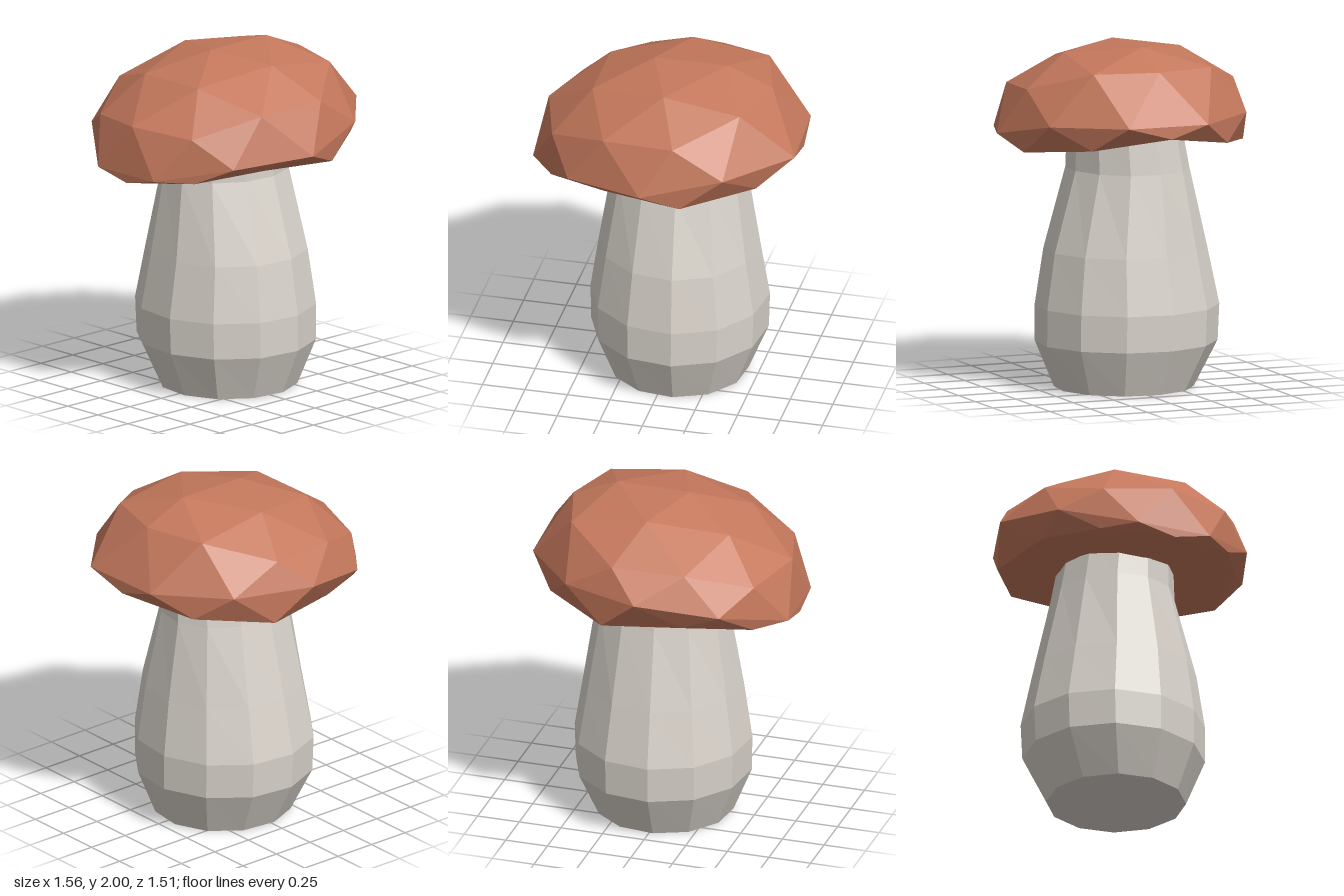
import * as THREE from 'three';

// Non-indexed geometry from triangles of [x, y, z] points, with flat normals
function fromTriangles(tris) {
  const geo = new THREE.BufferGeometry();
  geo.setAttribute('position', new THREE.Float32BufferAttribute(tris.flat(2), 3));
  geo.computeVertexNormals();
  return geo;
}

// Completes a ring whose front half runs from angle 0 towards 180 degrees
function mirrorRing(half) {
  const back = half.filter((p) => p[2] > 0).reverse();
  return [...half, ...back.map(([x, y, z]) => [x, y, -z])];
}

// Faceted cap: pole, ring of five, then three rings of ten
function capGeometry() {
  const pole = [-0.11, 1.995, 0];
  const crown = mirrorRing([[0.32, 2, 0], [0.03, 1.95, 0.36], [-0.42, 1.87, 0.22]]);
  const shoulder = mirrorRing([
    [0.585, 1.89, 0], [0.48, 1.885, 0.365], [0.15, 1.77, 0.64],
    [-0.27, 1.75, 0.59], [-0.62, 1.635, 0.38], [-0.73, 1.66, 0],
  ]);
  const rim = [
    [0.78, 1.605, 0.27], [0.44, 1.59, 0.62], [-0.02, 1.5, 0.755], [-0.48, 1.47, 0.58], [-0.77, 1.385, 0.22],
    [-0.78, 1.385, -0.23], [-0.48, 1.52, -0.6], [-0.02, 1.605, -0.76], [0.44, 1.605, -0.6], [0.755, 1.6, -0.23],
  ];
  const lip = mirrorRing([
    [0.77, 1.53, 0], [0.59, 1.46, 0.42], [0.2, 1.415, 0.68],
    [-0.26, 1.43, 0.6], [-0.62, 1.38, 0.4], [-0.775, 1.335, 0],
  ]);
  const under = [0, 1.435, 0];
  const tris = [];
  for (let i = 0; i < 5; i++) {
    const j = (i + 1) % 5, k = 2 * i;
    tris.push(
      [pole, crown[j], crown[i]],
      [crown[i], crown[j], shoulder[k + 1]],
      [crown[i], shoulder[k + 1], shoulder[k]],
      [crown[i], shoulder[k], shoulder[(k + 9) % 10]],
    );
  }
  for (let k = 0; k < 10; k++) {
    const n = (k + 1) % 10, p = (k + 9) % 10;
    tris.push(
      [shoulder[k], rim[k], rim[p]],
      [shoulder[k], shoulder[n], rim[k]],
      [rim[p], rim[k], lip[k]],
      [rim[k], lip[n], lip[k]],
      [under, lip[k], lip[n]],
    );
  }
  return fromTriangles(tris);
}

// Twelve-sided stem from elliptical cross-sections
function stemGeometry() {
  const sides = 12, start = THREE.MathUtils.degToRad(22);
  // y, centre x, centre z, radius x, radius z
  const sections = [
    [0, 0.035, -0.01, 0.4, 0.4],
    [0.265, 0.035, -0.025, 0.51, 0.525],
    [0.475, 0.035, -0.03, 0.515, 0.53],
    [0.8, 0.035, -0.02, 0.465, 0.47],
    [1.27, 0.035, -0.032, 0.39, 0.348],
    [1.48, 0.035, -0.015, 0.37, 0.325],
  ];
  const rings = sections.map(([y, cx, cz, rx, rz]) =>
    Array.from({ length: sides }, (_, i) => {
      const a = start + (i / sides) * Math.PI * 2;
      return [cx + rx * Math.cos(a), y, cz + rz * Math.sin(a)];
    }));
  const base = [0.035, 0, -0.01];
  const tris = [];
  for (let i = 0; i < sides; i++) {
    const n = (i + 1) % sides;
    tris.push([base, rings[0][i], rings[0][n]]);
    for (let r = 0; r + 1 < rings.length; r++) {
      const lo = rings[r], hi = rings[r + 1];
      tris.push([lo[i], hi[i], hi[n]], [lo[i], hi[n], lo[n]]);
    }
  }
  return fromTriangles(tris);
}

export function createModel() {
  const group = new THREE.Group();
  group.name = 'mushroom';
  const addPart = (name, geometry, color) => {
    const material = new THREE.MeshStandardMaterial({ color, flatShading: true, side: THREE.DoubleSide });
    const mesh = new THREE.Mesh(geometry, material);
    mesh.name = name;
    group.add(mesh);
  };
  addPart('stem', stemGeometry(), 0xd8d2ca);
  addPart('cap', capGeometry(), 0xc4785c);
  return group;
}
